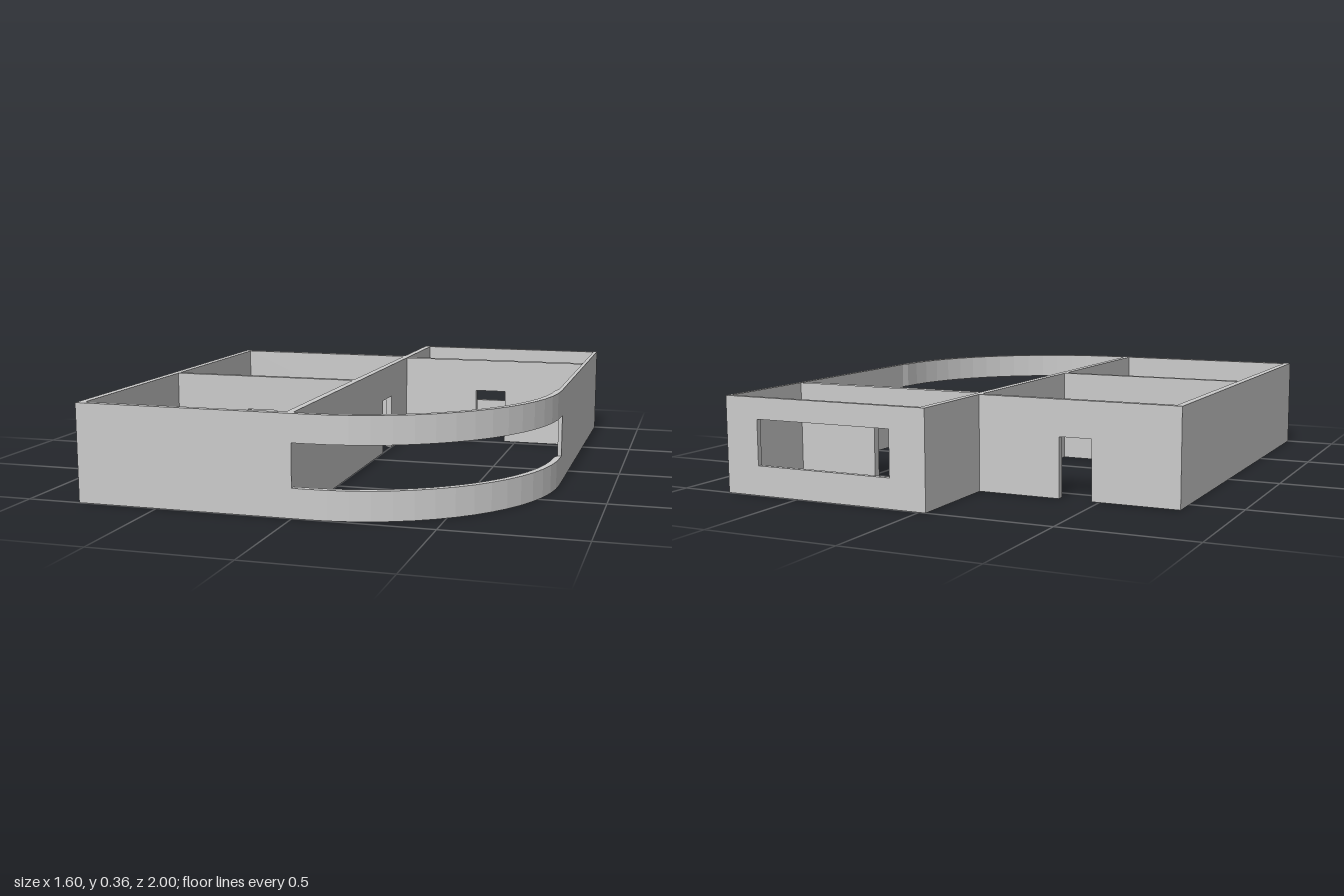
import * as THREE from 'three';

const H = 0.36, T = 0.026, DOOR = 0.225;
const mat = new THREE.MeshStandardMaterial({ color: 0xcccccc, flatShading: true, side: THREE.DoubleSide });

// Elevation outline from a to b, with an optional door notch and window hole
function elevation(a, b, { door, win } = {}) {
  const s = new THREE.Shape();
  s.moveTo(a, 0);
  if (door) {
    s.lineTo(door[0], 0);
    s.lineTo(door[0], DOOR);
    s.lineTo(door[1], DOOR);
    s.lineTo(door[1], 0);
  }
  s.lineTo(b, 0);
  s.lineTo(b, H);
  s.lineTo(a, H);
  s.closePath();
  if (win) {
    const [x0, x1, y0, y1] = win;
    const h = new THREE.Path();
    h.moveTo(x0, y0);
    h.lineTo(x0, y1);
    h.lineTo(x1, y1);
    h.lineTo(x1, y0);
    h.closePath();
    s.holes.push(h);
  }
  return s;
}

export function createModel() {
  const model = new THREE.Group();
  model.name = 'floorPlan';

  const add = (name, geo, parent = model) => {
    const m = new THREE.Mesh(geo, mat);
    m.name = name;
    parent.add(m);
    return m;
  };

  // Wall running along x, its back face at z
  const wallX = (name, x0, x1, z, t, openings) =>
    add(name, new THREE.ExtrudeGeometry(elevation(x0, x1, openings), { depth: t, bevelEnabled: false }).translate(0, 0, z));

  // Wall running along z, its right-hand face at x (outline is drawn along -z)
  const wallZ = (name, z0, z1, x, t, door) => {
    const s = elevation(-z1, -z0, door ? { door: [-door[1], -door[0]] } : {});
    return add(name, new THREE.ExtrudeGeometry(s, { depth: t, bevelEnabled: false }).rotateY(Math.PI / 2).translate(x, 0, 0));
  };

  // Two square rooms
  const roomDoor = { door: [-0.47, -0.345] };
  wallZ('outerSideWall', -0.6, 1, -0.8, T);
  wallX('roomBackWall', -0.8 + T, -T, -0.6, T, roomDoor);
  wallX('roomDividingWall', -0.8 + T, -T, 0.19, T, roomDoor);
  wallX('roomFrontWall', -0.8 + T, -T, 1 - T, T);
  wallZ('centralWall', -1, 1, -T, T, [-0.27, -0.135]);

  // Long room: back wall with window, thin side wall
  wallX('backWindowWall', 0, 0.785, -1, 0.02, { win: [0.115, 0.665, 0.11, 0.28] });
  wallZ('longSideWall', -1, 0.22, 0.785, 0.015);

  // Curved corner: a band below and a band above the long window
  const plan = new THREE.Shape();
  const R = 0.75, cx = 0.05, cz = 0.25, t = 0.024, N = 16;
  const arc = (r, i) => {
    const a = (i / N) * Math.PI / 2;
    return [cx + r * Math.cos(a), -(cz + r * Math.sin(a))];
  };
  plan.moveTo(0.8, -0.22);
  plan.lineTo(0.785, -0.22);
  for (let i = 0; i <= N; i++) plan.lineTo(...arc(R - t, i));
  plan.lineTo(0, -(1 - t));
  plan.lineTo(0, -1);
  for (let i = N; i >= 0; i--) plan.lineTo(...arc(R, i));
  plan.closePath();
  const band = (name, y0, y1) =>
    add(name, new THREE.ExtrudeGeometry(plan, { depth: y1 - y0, bevelEnabled: false }).rotateX(-Math.PI / 2).translate(0, y0, 0));
  band('curvedWallLower', 0, 0.105);
  band('curvedWallUpper', 0.26, H);

  // Open-topped partition: two skins joined only around the doorway
  const partition = new THREE.Group();
  partition.name = 'partition';
  model.add(partition);
  const d0 = 0.32, d1 = 0.45, zb = -0.56, zf = -0.53, zm = (zb + zf) / 2, d = zf - zb;
  for (const [name, z] of [['partitionFrontSkin', zf], ['partitionBackSkin', zb]])
    add(name, new THREE.ShapeGeometry(elevation(0, 0.785, { door: [d0, d1] })).translate(0, 0, z), partition);
  add('doorLintel', new THREE.PlaneGeometry(d1 - d0, d).rotateX(Math.PI / 2).translate((d0 + d1) / 2, DOOR, zm), partition);
  for (const x of [d0, d1])
    add('doorJamb', new THREE.PlaneGeometry(d, DOOR).rotateY(x === d0 ? Math.PI / 2 : -Math.PI / 2).translate(x, DOOR / 2, zm), partition);

  return model;
}
